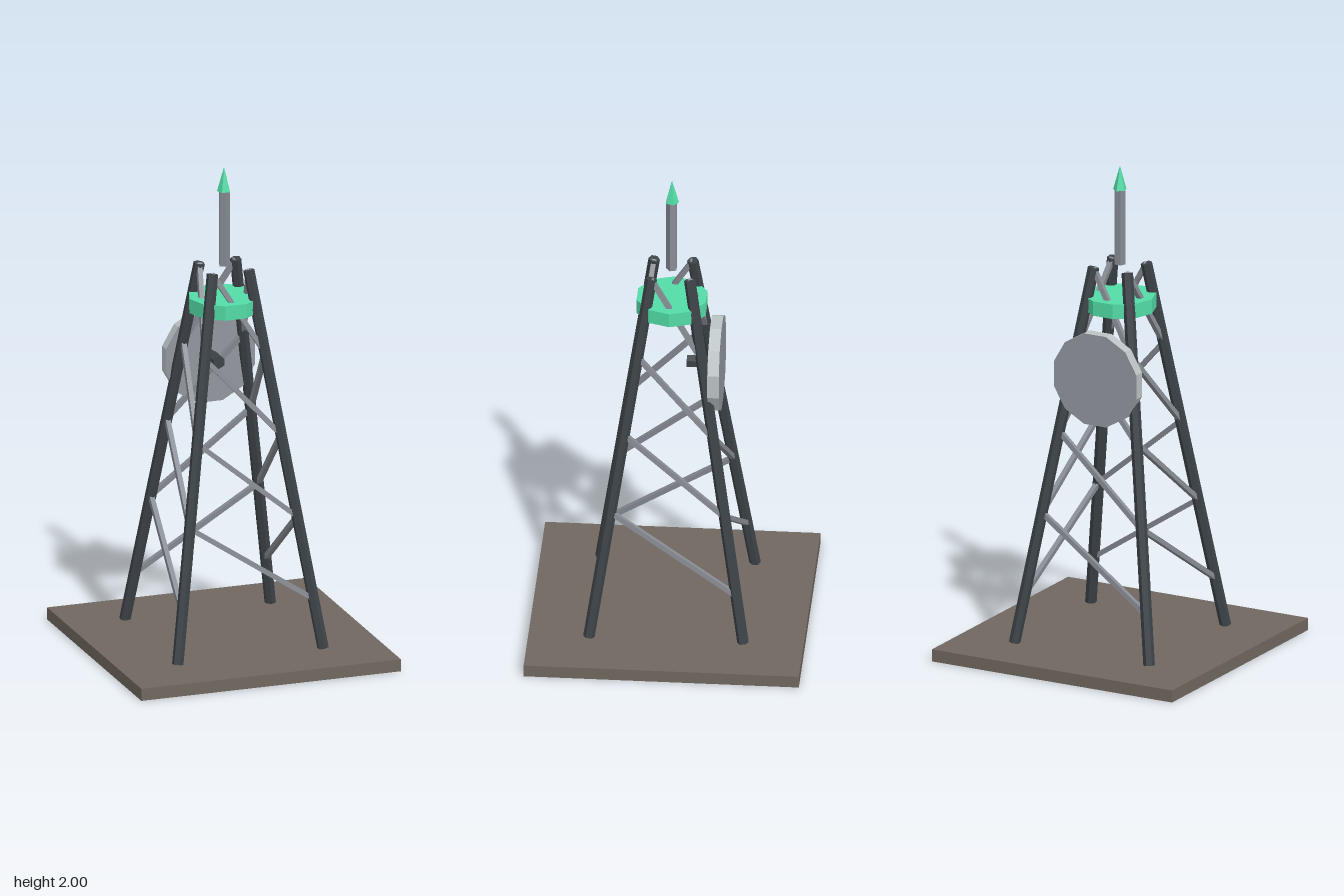
import * as THREE from 'three';

const mat = (name, color) => {
  const m = new THREE.MeshStandardMaterial({ color, flatShading: true });
  m.name = name;
  return m;
};

export function createModel() {
  const stone = mat('stone brown', 0x70685f);
  stone.side = THREE.DoubleSide;
  const dark = mat('dark steel', 0x3d4348);
  const steel = mat('grey steel', 0x888c94);
  const pale = mat('pale metal', 0xbcc3c5);
  const face = mat('dish grey', 0x92969e);
  const green = mat('green', 0x52dca6);

  const tower = new THREE.Group();
  tower.name = 'latticeTower';

  const add = (name, geometry, material, x, y, z) => {
    const mesh = new THREE.Mesh(geometry, material);
    mesh.name = name;
    mesh.position.set(x, y, z);
    tower.add(mesh);
    return mesh;
  };

  // Straight bar between two points; turn spins its cross-section
  const bar = (name, a, b, radius, sides, turn, material) => {
    const dir = b.clone().sub(a);
    const mid = a.clone().add(b).multiplyScalar(0.5);
    const geometry = new THREE.CylinderGeometry(radius, radius, dir.length(), sides).rotateY(turn);
    const mesh = add(name, geometry, material, mid.x, mid.y, mid.z);
    mesh.quaternion.setFromUnitVectors(new THREE.Vector3(0, 1, 0), dir.normalize());
  };

  // Corners in order round the tower; legs lean inwards with height
  const corners = [[-1, -1], [1, -1], [1, 1], [-1, 1]];
  const legPoint = (i, y) => {
    const r = 0.3145 - 0.15 * y;
    const [sx, sz] = corners[i % 4];
    return new THREE.Vector3(sx * r, y, sz * r);
  };

  // Base: shallow tray, open underneath (the box's bottom face is left out)
  const tray = new THREE.BoxGeometry(1.096, 0.05, 1.096);
  tray.setIndex(Array.from(tray.index.array).filter((_, i) => i < 18 || i >= 24));
  tray.clearGroups();
  add('base', tray, stone, 0, 0.025, 0);

  // Legs and one rising brace per face and level
  for (let i = 0; i < 4; i++) {
    bar('leg', legPoint(i, 0.05), legPoint(i, 1.585), 0.023, 6, 0, dark);
    for (let level = 0; level < 4; level++) {
      const y = 0.25 + level / 3;
      bar('brace', legPoint(i, y), legPoint(i + 1, y + 1 / 3), 0.014, 4, Math.PI / 4, steel);
    }
  }

  // Platform ring near the top
  add('platform', new THREE.CylinderGeometry(0.145, 0.145, 0.06, 10), green, 0, 1.435, 0).rotation.y = Math.PI / 10;

  // Mast and pointed tip
  add('mast', new THREE.CylinderGeometry(0.023, 0.023, 0.31, 5), steel, 0, 1.745, 0);
  add('tip', new THREE.ConeGeometry(0.028, 0.1, 5), green, 0, 1.95, 0).rotation.y = Math.PI;

  // Dish on the back: pale rim, grey faces, and its mounting arm
  const dish = new THREE.CylinderGeometry(0.195, 0.195, 0.046, 12);
  dish.rotateY(Math.PI / 12).rotateX(Math.PI / 2);
  add('dish', dish, [pale, face, face], 0, 1.16, -0.178);
  const arm = new THREE.CylinderGeometry(0.027, 0.027, 0.1, 6);
  arm.rotateX(Math.PI / 2);
  add('dishArm', arm, dark, 0, 1.163, -0.11);

  return tower;
}
